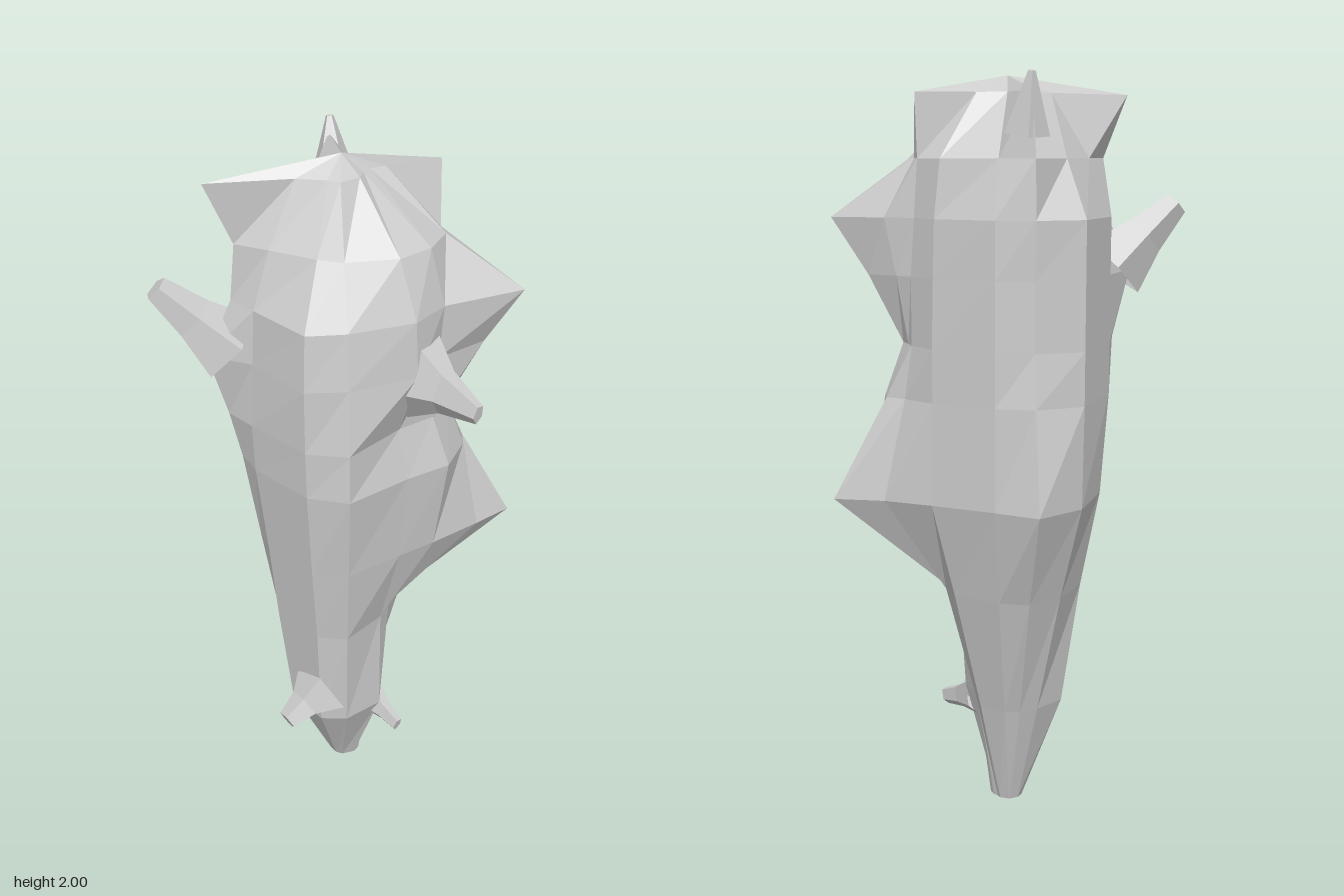
import * as THREE from 'three';

const material = new THREE.MeshStandardMaterial({ color: 0xcccccc, flatShading: true, side: THREE.DoubleSide });
const AXIS_Z = -0.08;

// Directions of the body's ridges, in degrees from +x towards +z
const angles = [0, 20, 28, 37, 57, 80, 118, 140, 180, 197, 225, 270, 298, 320];

// Cross-sections: height, then the radius along each direction
const sections = [
  [0.01, [.04, .04, .045, .05, .06, .06, .055, .05, .04, .035, .03, .03, .03, .035]],
  [0.30, [.11, .10, .09, .085, .10, .17, .195, .20, .17, .15, .14, .11, .11, .11]],
  [0.64, [.20, .19, .18, .165, .155, .17, .225, .225, .21, .19, .19, .20, .22, .20]],
  [0.90, [.275, .36, .485, .39, .285, .24, .265, .26, .235, .23, .24, .28, .325, .26]],
  [1.17, [.27, .30, .34, .34, .32, .265, .305, .29, .265, .27, .26, .285, .28, .26]],
  [1.31, [.27, .28, .28, .29, .27, .23, .30, .295, .27, .30, .26, .285, .265, .26]],
  [1.49, [.265, .28, .31, .38, .28, .29, .28, .295, .26, .35, .26, .285, .265, .26]],
  [1.64, [.26, .27, .34, .475, .29, .28, .26, .28, .25, .28, .26, .285, .27, .26]],
  [1.79, [.24, .26, .26, .27, .25, .22, .18, .17, .20, .265, .20, .21, .265, .21]],
  [1.955, [.12, .265, .12, .08, .07, .08, .09, .08, .12, .335, .10, .08, .23, .08]],
];

function bodyGeometry() {
  const n = angles.length;
  const positions = [];
  const index = [];
  for (const [y, radii] of sections) {
    radii.forEach((r, j) => {
      const a = THREE.MathUtils.degToRad(angles[j]);
      positions.push(r * Math.cos(a), y, AXIS_Z + r * Math.sin(a));
    });
  }
  for (let i = 0; i < sections.length - 1; i++) {
    for (let j = 0; j < n; j++) {
      const k = (j + 1) % n;
      const a = i * n + j, b = i * n + k, c = a + n, d = b + n;
      index.push(a, c, b, b, c, d);
    }
  }
  // Close the foot and the crown with a point each
  const foot = sections.length * n, crown = foot + 1, last = foot - n;
  positions.push(0, 0, -0.06, 0, 2, -0.06);
  for (let j = 0; j < n; j++) {
    const k = (j + 1) % n;
    index.push(foot, j, k, crown, last + k, last + j);
  }
  const geometry = new THREE.BufferGeometry();
  geometry.setAttribute('position', new THREE.Float32BufferAttribute(positions, 3));
  geometry.setIndex(index);
  geometry.computeVertexNormals();
  return geometry;
}

// Five-sided tapering stub between two points, with a blunt tip
function spike(name, from, to, rootRadius, midRadius, tipRadius, width = 1) {
  const start = new THREE.Vector3(...from);
  const direction = new THREE.Vector3(...to).sub(start);
  const length = direction.length();
  const profile = [[rootRadius, 0], [midRadius, length * 0.5], [tipRadius, length], [0, length]]
    .map(([r, y]) => new THREE.Vector2(r, y));
  const mesh = new THREE.Mesh(new THREE.LatheGeometry(profile, 5), material);
  mesh.name = name;
  mesh.position.copy(start);
  mesh.scale.x = width;
  mesh.quaternion.setFromUnitVectors(new THREE.Vector3(0, 1, 0), direction.normalize());
  return mesh;
}

export function createModel() {
  const group = new THREE.Group();
  group.name = 'jaggedRock';

  const body = new THREE.Mesh(bodyGeometry(), material);
  body.name = 'body';
  group.add(body);

  // Protruding spikes and stubs
  group.add(
    spike('frontSpike', [0.08, 1.47, 0.13], [0.115, 1.445, 0.37], 0.15, 0.065, 0.028, 0.6),
    spike('sideSpike', [-0.27, 1.5, -0.18], [-0.42, 1.67, -0.27], 0.1, 0.06, 0.035),
    spike('crownSpike', [0.1, 1.85, -0.25], [0.11, 2.0, -0.28], 0.06, 0.035, 0.01),
    spike('lowerSideStub', [-0.13, 0.39, 0.02], [-0.26, 0.335, 0.03], 0.1, 0.05, 0.03),
    spike('lowerFrontStub', [0.035, 0.28, 0.04], [0.05, 0.25, 0.155], 0.06, 0.035, 0.025, 0.6),
  );
  return group;
}
